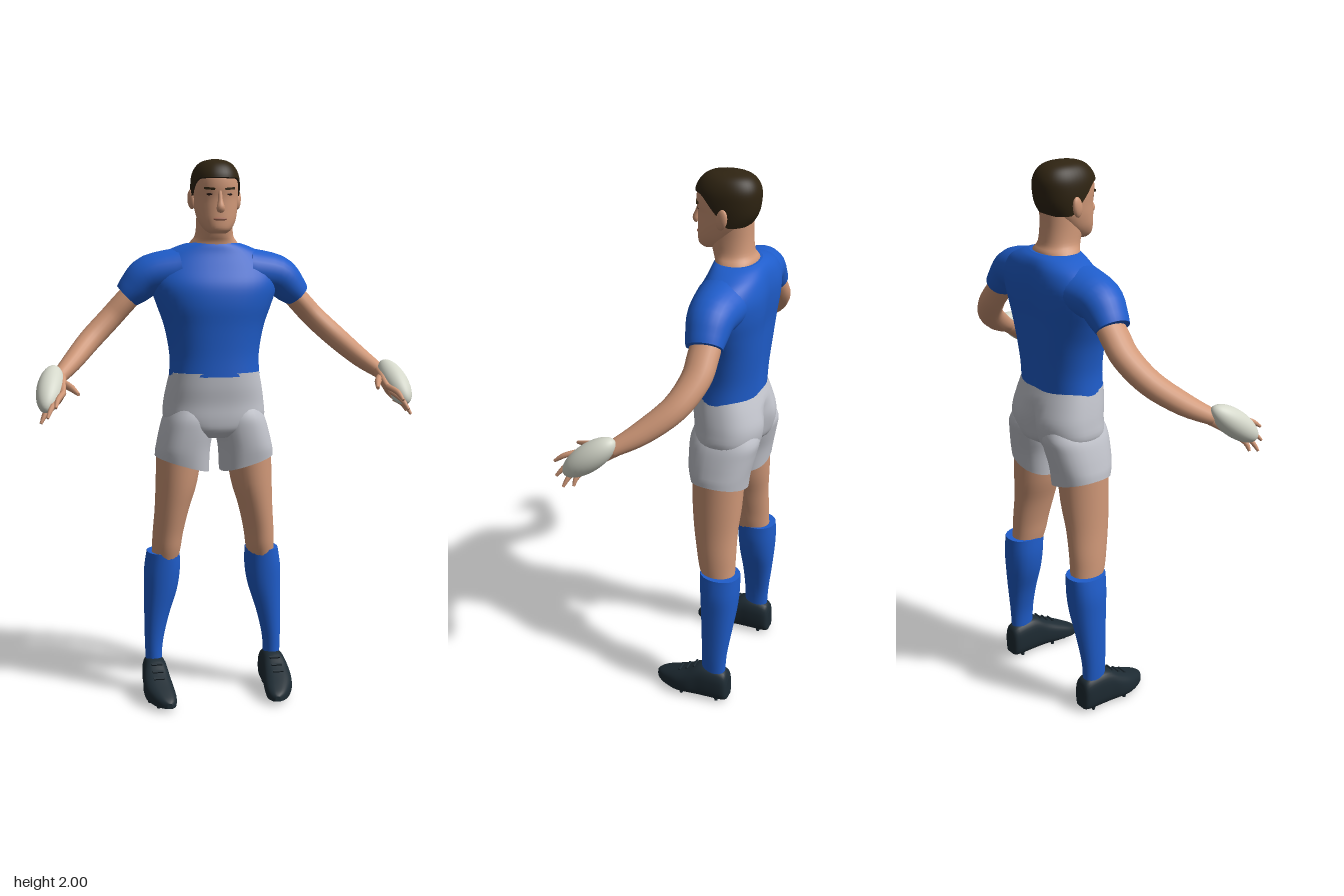
import * as THREE from 'three';

const mat = (name, color) => {
  const m = new THREE.MeshStandardMaterial({ color });
  m.name = name;
  return m;
};
const V = (x, y, z) => new THREE.Vector3(x, y, z);

// Catmull-Rom interpolation of rows of numbers
function spline(a, b, c, d, t) {
  const cubic = 3 * (b - c) + d - a;
  const square = 2 * a - 5 * b + 4 * c - d;
  return b + 0.5 * t * (c - a + t * (square + t * cubic));
}
function smooth(rows, steps) {
  const out = [], last = rows.length - 1;
  for (let i = 0; i < last; i++) {
    const a = rows[Math.max(i - 1, 0)], b = rows[i], c = rows[i + 1], d = rows[Math.min(i + 2, last)];
    for (let k = 0; k < steps; k++) out.push(b.map((p, j) => spline(a[j], p, c[j], d[j], k / steps)));
  }
  out.push(rows[last]);
  return out;
}

// Skin over rings of points, with flat end caps
function skin(rings, deform) {
  const n = rings[0].length, pos = [], idx = [];
  const add = (p) => {
    const q = p.clone();
    if (deform) deform(q);
    return pos.push(q.x, q.y, q.z) / 3 - 1;
  };
  rings.forEach((r) => r.forEach(add));
  for (let i = 0; i < rings.length - 1; i++) {
    for (let j = 0; j < n; j++) {
      const a = i * n + j, c = i * n + (j + 1) % n;
      idx.push(a, a + n, c, a + n, c + n, c);
    }
  }
  [0, rings.length - 1].forEach((e) => {
    const ring = rings[e];
    const mid = add(ring.reduce((s, p) => s.add(p), V(0, 0, 0)).divideScalar(n));
    ring.forEach(add);
    for (let j = 0; j < n; j++) {
      const p = mid + 1 + j, q = mid + 1 + (j + 1) % n;
      if (e) idx.push(mid, q, p); else idx.push(mid, p, q);
    }
  });
  const g = new THREE.BufferGeometry();
  g.setAttribute('position', new THREE.Float32BufferAttribute(pos, 3));
  g.setIndex(idx);
  g.computeVertexNormals();
  return g;
}

const pw = (v, n) => Math.sign(v) * Math.abs(v) ** (2 / n);

// Horizontal sections, bottom to top: [y, centre x, half width, front z, back z]
function stack(rows, { n = 2.2, seg = 32, deform } = {}) {
  const rings = smooth(rows, 4).map(([y, cx, w, zf, zb]) => Array.from({ length: seg }, (_, j) => {
    const a = j / seg * Math.PI * 2;
    return V(cx + w * pw(Math.cos(a), n), y, (zf + zb) / 2 + (zf - zb) / 2 * pw(Math.sin(a), n));
  }));
  return skin(rings, deform);
}

// Round sections along a path: [x, y, z, radius across ref, radius along ref]
function limb(rows, ref, seg = 20) {
  const s = smooth(rows, 4), at = (i) => V(...s[i].slice(0, 3));
  return skin(s.map((r, i) => {
    const t = at(Math.min(i + 1, s.length - 1)).sub(at(Math.max(i - 1, 0))).normalize();
    const v = ref.clone().addScaledVector(t, -ref.dot(t)).normalize();
    const u = t.clone().cross(v);
    return Array.from({ length: seg }, (_, j) => {
      const a = j / seg * Math.PI * 2;
      return at(i).addScaledVector(u, r[3] * Math.cos(a)).addScaledVector(v, r[4] * Math.sin(a));
    });
  }));
}

// Mirror across x = 0, keeping faces outward
function mirrored(g) {
  const m = g.clone().scale(-1, 1, 1), ix = m.index.array;
  for (let i = 0; i < ix.length; i += 3) {
    const first = ix[i];
    ix[i] = ix[i + 1];
    ix[i + 1] = first;
  }
  return m;
}

export function createModel() {
  const model = new THREE.Group();
  model.name = 'rugbyPlayer';
  const skinMat = mat('skin', 0xd09878), blue = mat('blueCloth', 0x1f5dcb), grey = mat('greyCloth', 0xc3c5cd);
  const hairMat = mat('hair', 0x2f2412), boot = mat('boot', 0x1e2b33), ballMat = mat('ball', 0xd5d8cb);
  const dark = mat('eye', 0x2a1a14), lip = mat('lip', 0xa56a56);
  const put = (name, g, m) => {
    const mesh = new THREE.Mesh(g, m);
    mesh.name = name;
    model.add(mesh);
  };
  const pair = (name, g, m) => {
    put(name + 'Left', g, m);
    put(name + 'Right', mirrored(g), m);
  };
  // Vertical crease down the middle of the back
  const groove = (depth, w, y0, y1) => (p) => {
    if (p.z > -0.12 || p.y < y0 || p.y > y1) return;
    p.z += depth * Math.exp(-((p.x / w) ** 2)) * Math.sin((p.y - y0) / (y1 - y0) * Math.PI);
  };

  // Shirt
  put('shirt', stack([
    [1.222, 0, 0.168, 0.004, -0.234], [1.3, 0, 0.166, 0.002, -0.24], [1.4, 0, 0.184, 0.006, -0.25],
    [1.48, 0, 0.212, 0.012, -0.256], [1.55, 0, 0.235, 0.004, -0.263], [1.61, 0, 0.235, -0.025, -0.263],
    [1.66, 0, 0.195, -0.05, -0.252], [1.69, 0, 0.135, -0.06, -0.235], [1.703, 0, 0.095, -0.066, -0.215],
  ], { seg: 48, deform: groove(0.018, 0.05, 1.2, 1.72) }), blue);
  pair('sleeve', limb([
    [0.13, 1.6, -0.14, 0.085, 0.1], [0.235, 1.585, -0.138, 0.075, 0.083],
    [0.29, 1.54, -0.142, 0.062, 0.07], [0.318, 1.513, -0.146, 0.05, 0.062],
  ], V(0, 0, 1), 28), blue);

  // Arms
  pair('arm', limb([
    [0.27, 1.55, -0.145, 0.042, 0.052], [0.33, 1.487, -0.147, 0.042, 0.053], [0.385, 1.428, -0.143, 0.042, 0.051],
    [0.46, 1.355, -0.103, 0.041, 0.046], [0.53, 1.285, -0.02, 0.035, 0.04], [0.585, 1.237, 0.06, 0.025, 0.028],
  ], V(0, 0, 1)), skinMat);

  // Hands: palm, four fingers and a thumb
  const spread = V(-0.45, 0.65, 0.35).normalize();
  const knuckle = V(0.59, 1.175, 0.165);
  pair('palm', limb([
    [0.58, 1.24, 0.05, 0.024, 0.027], [0.584, 1.215, 0.1, 0.019, 0.036],
    [0.588, 1.185, 0.145, 0.016, 0.039], [0.592, 1.17, 0.175, 0.01, 0.034],
  ], spread, 16), skinMat);
  [[0.605, 1.158, 0.262], [0.632, 1.122, 0.243], [0.653, 1.1, 0.208], [0.648, 1.108, 0.172]].forEach((tip, i) => {
    const b = knuckle.clone().addScaledVector(spread, 0.03 - 0.02 * i);
    const m = b.clone().lerp(V(...tip), 0.55).add(V(0.004, 0.006, 0.004));
    const rows = [[b.x, b.y, b.z, 0.0105, 0.0105], [m.x, m.y, m.z, 0.0095, 0.0095], [...tip, 0.005, 0.005]];
    pair('finger' + (i + 1), limb(rows, V(1, 0, 0), 8), skinMat);
  });
  pair('thumb', limb([
    [0.575, 1.225, 0.09, 0.014, 0.015], [0.547, 1.213, 0.15, 0.012, 0.013], [0.526, 1.197, 0.215, 0.006, 0.006],
  ], V(0, 1, 0), 10), skinMat);

  // Ball carried on the outside of each hand
  const ball = new THREE.SphereGeometry(1, 32, 20).scale(0.046, 0.108, 0.046);
  ball.applyQuaternion(new THREE.Quaternion().setFromUnitVectors(V(0, 1, 0), V(0.2, -0.62, 0.76).normalize()));
  pair('ball', ball.translate(0.616, 1.208, 0.128), ballMat);

  // Shorts
  put('shortsHips', stack([
    [0.995, 0, 0.07, -0.035, -0.2], [1.025, 0, 0.15, -0.012, -0.242], [1.065, 0, 0.188, -0.006, -0.26],
    [1.12, 0, 0.187, -0.006, -0.266], [1.18, 0, 0.177, 0, -0.25], [1.235, 0, 0.165, 0.002, -0.23],
  ], { seg: 48, n: 2.4, deform: groove(0.04, 0.03, 0.96, 1.19) }), grey);
  const slantHem = (p) => {
    if (p.y < 0.96) p.y += (p.x - 0.11) * 0.3 * (0.96 - p.y) / 0.072;
  };
  pair('shortsLeg', stack([
    [0.888, 0.122, 0.1, -0.025, -0.226], [0.95, 0.118, 0.1, -0.015, -0.235],
    [1.02, 0.104, 0.099, -0.01, -0.25], [1.07, 0.096, 0.091, -0.012, -0.258], [1.12, 0.09, 0.07, -0.03, -0.24],
  ], { n: 2.3, deform: slantHem }), grey);

  // Legs and socks
  pair('leg', stack([
    [0.52, 0.185, 0.05, -0.09, -0.212], [0.57, 0.18, 0.054, -0.074, -0.21], [0.63, 0.174, 0.057, -0.063, -0.21],
    [0.72, 0.16, 0.064, -0.047, -0.21], [0.82, 0.143, 0.077, -0.035, -0.217], [0.96, 0.13, 0.086, -0.03, -0.222],
  ], { n: 2 }), skinMat);
  pair('sock', stack([
    [0.12, 0.23, 0.03, -0.106, -0.196], [0.2, 0.229, 0.034, -0.105, -0.2], [0.3, 0.218, 0.046, -0.1, -0.213],
    [0.4, 0.202, 0.062, -0.092, -0.226], [0.48, 0.195, 0.068, -0.087, -0.232], [0.552, 0.19, 0.062, -0.084, -0.232],
  ], { seg: 20 }), blue);

  // Boots, stacked from heel to toe and laid flat: [z, centre x, half width, top]
  const bootRows = [
    [-0.212, 0.228, 0.024, 0.1], [-0.198, 0.228, 0.04, 0.132], [-0.14, 0.229, 0.046, 0.146],
    [-0.095, 0.23, 0.048, 0.14], [-0.05, 0.23, 0.053, 0.112], [0, 0.225, 0.053, 0.086],
    [0.045, 0.214, 0.043, 0.064], [0.075, 0.207, 0.028, 0.048], [0.09, 0.203, 0.01, 0.036],
  ];
  const flatSole = (p) => { p.z = Math.min(p.z, -0.016); };
  pair('boot', stack(bootRows.map(([z, x, w, top]) => [z, x, w, 0, -top]), { n: 2.7, deform: flatSole }).rotateX(Math.PI / 2), boot);
  [[-0.17, 0.205], [-0.17, 0.252], [-0.03, 0.195], [-0.03, 0.262], [0.03, 0.2], [0.03, 0.237]].forEach(([z, x], i) => {
    pair('stud' + (i + 1), new THREE.CylinderGeometry(0.009, 0.006, 0.022, 10).translate(x, 0.011, z), boot);
  });
  [[-0.075, 0.131], [-0.045, 0.112], [-0.015, 0.096]].forEach(([z, y], i) => {
    pair('lace' + (i + 1), new THREE.BoxGeometry(0.04, 0.006, 0.008).rotateX(0.5).translate(0.228, y, z), boot);
  });

  // Neck and head
  put('neck', stack([
    [1.67, 0, 0.11, -0.065, -0.21], [1.705, 0, 0.087, -0.062, -0.205], [1.73, 0, 0.07, -0.052, -0.192],
    [1.78, 0, 0.065, -0.04, -0.186], [1.85, 0, 0.065, -0.05, -0.185],
  ]), skinMat);
  const headRows = [
    [1.736, 0, 0.028, -0.012, -0.06], [1.75, 0, 0.048, 0.001, -0.1], [1.78, 0, 0.066, 0.003, -0.135],
    [1.82, 0, 0.076, 0.002, -0.17], [1.86, 0, 0.08, 0.002, -0.195], [1.9, 0, 0.082, 0.007, -0.204],
    [1.94, 0, 0.078, 0.003, -0.204], [1.97, 0, 0.063, -0.016, -0.188], [1.987, 0, 0.04, -0.045, -0.16], [1.994, 0, 0.006, -0.09, -0.115],
  ];
  put('head', stack(headRows), skinMat);

  // Hair follows the skull, with a hairline low at the nape and high at the brow
  const fine = smooth(headRows, 6);
  const skull = (y) => {
    let i = 0;
    while (i < fine.length - 2 && fine[i + 1][0] < y) i++;
    const t = (y - fine[i][0]) / (fine[i + 1][0] - fine[i][0]);
    return fine[i].map((v, k) => v + (fine[i + 1][k] - v) * t);
  };
  const hairPoint = (t, a) => {
    const low = 1.828 + 0.103 * THREE.MathUtils.smoothstep(Math.sin(a), -0.45, 0.7);
    const y = low + (1.994 - low) * (1 - (1 - t) ** 2);
    const [, , w, zf, zb] = skull(y);
    const z = (zf + zb) / 2 + ((zf - zb) / 2 + 0.006) * pw(Math.sin(a), 2.2);
    return V((w + 0.006) * pw(Math.cos(a), 2.2), y + 0.006 * t, z);
  };
  const hairRing = (t) => Array.from({ length: 48 }, (_, j) => hairPoint(t, j / 48 * Math.PI * 2));
  put('hair', skin(Array.from({ length: 25 }, (_, i) => hairRing(i / 24))), hairMat);

  // Face
  put('nose', limb([
    [0, 1.884, -0.001, 0.007, 0.007], [0, 1.85, 0.007, 0.009, 0.01],
    [0, 1.824, 0.014, 0.015, 0.013], [0, 1.812, 0.008, 0.011, 0.008],
  ], V(0, 0, 1), 14), skinMat);
  pair('brow', new THREE.BoxGeometry(0.04, 0.008, 0.009).rotateZ(0.1).rotateY(0.42).translate(0.036, 1.892, -0.004), hairMat);
  pair('eye', new THREE.SphereGeometry(1, 14, 8).scale(0.014, 0.006, 0.005).rotateY(0.42).translate(0.034, 1.873, -0.008), dark);
  put('mouth', new THREE.SphereGeometry(1, 16, 8).scale(0.025, 0.006, 0.006).translate(0, 1.786, 0.001), lip);
  pair('ear', new THREE.SphereGeometry(1, 16, 12).scale(0.012, 0.036, 0.022).rotateX(-0.2).rotateY(-0.3).translate(0.085, 1.858, -0.108), skinMat);
  return model;
}
